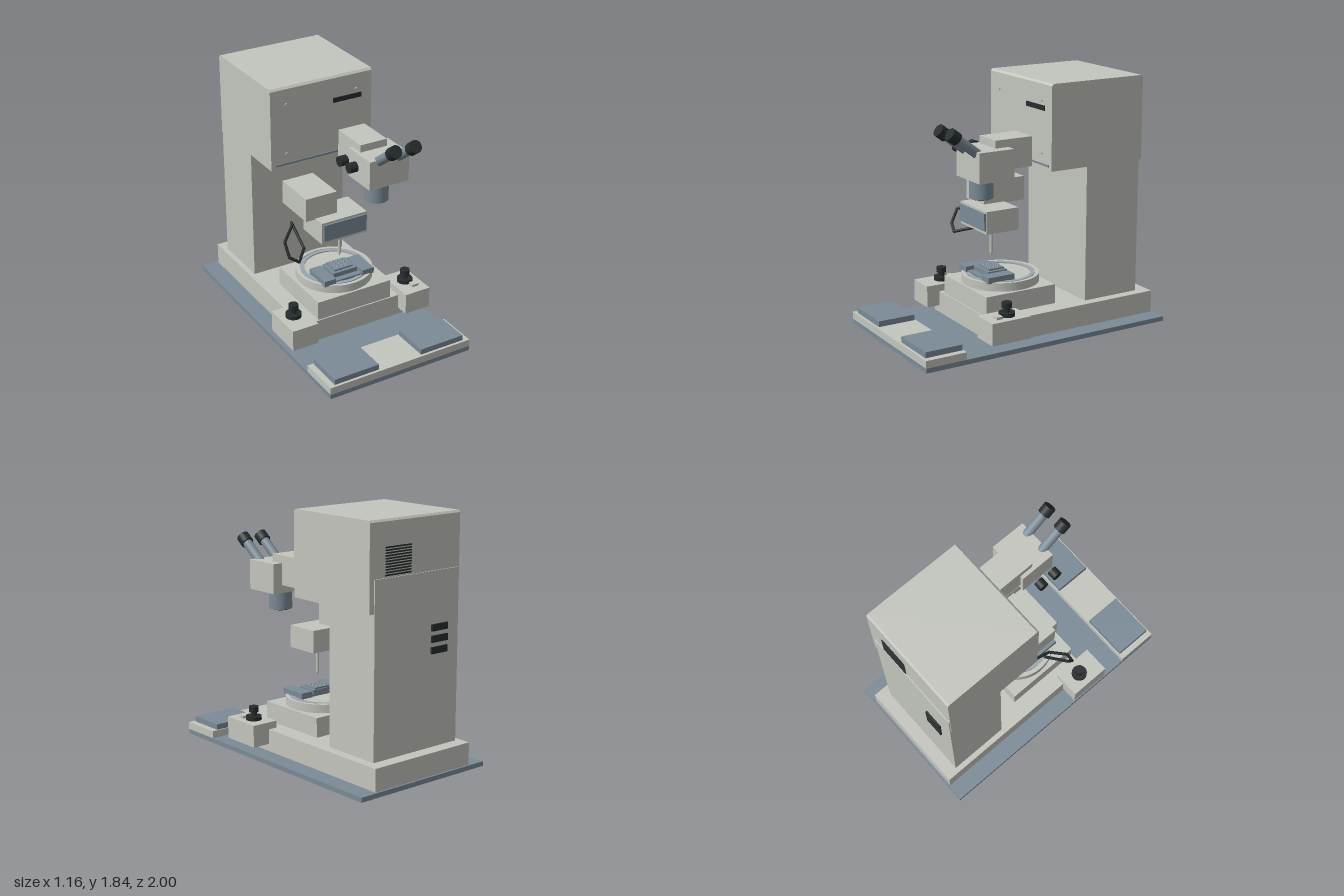
import * as THREE from 'three';

const mat = (name, color) => {
  const m = new THREE.MeshStandardMaterial({ color });
  m.name = name;
  return m;
};

export function createModel() {
  const root = new THREE.Group();
  root.name = 'bondingMachine';
  const light = mat('warmGrey', 0xc3c5be);
  const blue = mat('slateBlue', 0x7b8b97);
  const dark = mat('nearBlack', 0x262c2c);
  const steel = mat('steel', 0x9ba6ae);

  const add = (name, geometry, material, x = 0, y = 0, z = 0) => {
    const mesh = new THREE.Mesh(geometry, material);
    mesh.name = name;
    mesh.position.set(x, y, z);
    root.add(mesh);
    return mesh;
  };
  // Box given by its limits on each axis
  const box = (name, m, x0, x1, y0, y1, z0, z1) =>
    add(name, new THREE.BoxGeometry(x1 - x0, y1 - y0, z1 - z0), m,
      (x0 + x1) / 2, (y0 + y1) / 2, (z0 + z1) / 2);
  // Upright cylinder given by its bottom and top
  const cyl = (name, m, r, y0, y1, x, z, rTop = r, seg = 32) =>
    add(name, new THREE.CylinderGeometry(rTop, r, y1 - y0, seg), m, x, (y0 + y1) / 2, z);
  // Cylinder between two points
  const rod = (name, m, r, a, b, seg = 24) => {
    const d = b.clone().sub(a);
    const mesh = add(name, new THREE.CylinderGeometry(r, r, d.length(), seg), m);
    mesh.position.copy(a).add(b).multiplyScalar(0.5);
    mesh.quaternion.setFromUnitVectors(new THREE.Vector3(0, 1, 0), d.normalize());
    return mesh;
  };
  const v = (x, y, z) => new THREE.Vector3(x, y, z);

  // Base and arm rests
  box('basePlate', blue, -0.58, 0.58, 0, 0.035, -1, 1);
  box('frontStep', light, -0.58, 0.58, 0.035, 0.09, 0.685, 1);
  box('rightArmPad', blue, -0.535, -0.178, 0.09, 0.132, 0.695, 0.98);
  box('leftArmPad', blue, 0.175, 0.532, 0.09, 0.132, 0.695, 0.98);
  box('plinth', light, -0.447, 0.443, 0.035, 0.2, -0.985, 0.38);

  // Control blocks with knobs
  for (const s of [-1, 1]) {
    const x = s * 0.477;
    box('controlBlock', light, x - 0.104, x + 0.104, 0.09, 0.253, 0.17, 0.483);
    cyl('knobCollar', dark, 0.058, 0.253, 0.282, x, 0.305);
    cyl('knobStem', dark, 0.022, 0.282, 0.315, x, 0.305);
    cyl('knobTop', dark, 0.036, 0.312, 0.353, x, 0.305);
  }
  box('controlButton', light, 0.476, 0.528, 0.253, 0.272, 0.367, 0.415);

  // Work stage: block, turntable with rim and inlaid ring
  box('stageBlock', light, -0.31, 0.305, 0.2, 0.345, -0.21, 0.37);
  cyl('turntable', light, 0.285, 0.345, 0.4, 0, 0.07, 0.285, 64);
  const ring = (name, m, r0, r1, y0, y1) => add(name, new THREE.LatheGeometry(
    [[r0, y0], [r1, y0], [r1, y0], [r1, y1], [r1, y1], [r0, y1], [r0, y1], [r0, y0]]
      .map(p => new THREE.Vector2(...p)), 64), m, 0, 0, 0.07);
  ring('turntableRim', light, 0.258, 0.285, 0.398, 0.408);
  ring('turntableRing', steel, 0.22, 0.25, 0.399, 0.408);

  // Work holder with clamps and pins
  box('clampRight', blue, -0.21, -0.115, 0.402, 0.447, 0.075, 0.295);
  box('clampLeft', blue, 0.11, 0.207, 0.402, 0.447, 0.075, 0.295);
  box('holderFoot', blue, -0.115, 0.11, 0.4, 0.418, 0.09, 0.28);
  box('holderPlate', blue, -0.102, 0.1, 0.418, 0.453, 0.075, 0.235);
  box('workPiece', blue, -0.077, 0.075, 0.453, 0.465, 0.085, 0.21);
  for (let i = -1; i <= 1; i++)
    for (let j = -1; j <= 1; j++)
      cyl('workPin', steel, 0.01, 0.465, 0.487, i * 0.038, 0.148 + j * 0.036, 0.002, 8);

  // Column and overhanging head
  box('column', light, -0.407, 0.373, 0.2, 1.45, -0.888, -0.43);
  const side = new THREE.Shape([[0.1, 1.22], [0.88, 1.22], [0.88, 1.825], [0.867, 1.84],
    [0.115, 1.84], [0.1, 1.825]].map(p => new THREE.Vector2(...p)));
  const headGeo = new THREE.ExtrudeGeometry(side, { depth: 0.828, bevelEnabled: false });
  headGeo.rotateY(Math.PI / 2);
  add('head', headGeo, light, -0.415, 0, 0);
  box('headDisplay', dark, 0.09, 0.325, 1.64, 1.675, -0.101, -0.092);
  box('headTrim', blue, -0.38, 0.38, 1.246, 1.26, -0.101, -0.094);
  for (const x of [-0.29, 0.283])
    for (const y of [1.33, 1.708])
      rod('headScrew', light, 0.011, v(x, y, -0.101), v(x, y, -0.092), 16);

  // Rear vents and sockets
  for (let i = 0; i < 11; i++) {
    const y = 1.468 + i * 0.0185;
    box('ventSlat', dark, 0.042, 0.275, y - 0.005, y + 0.005, -0.886, -0.879);
  }
  for (const y of [0.895, 0.975, 1.055])
    box('rearSocket', dark, -0.298, -0.147, y - 0.024, y + 0.024, -0.902, -0.887);

  // Microscope
  box('microscopeArm', light, 0.082, 0.3, 1.25, 1.465, -0.01, 0.29);
  box('microscopeBody', light, 0.054, 0.377, 1.192, 1.41, 0.182, 0.46);
  cyl('objective', blue, 0.085, 1.045, 1.192, 0.19, 0.34);
  cyl('objectiveLens', dark, 0.062, 1.037, 1.046, 0.19, 0.34);
  for (const x of [0.14, 0.3]) {
    rod('eyepieceTube', blue, 0.035, v(x, 1.378, 0.42), v(x, 1.512, 0.597));
    rod('eyepieceCup', dark, 0.047, v(x, 1.507, 0.59), v(x, 1.55, 0.647));
  }
  for (const z of [0.262, 0.387])
    rod('focusKnob', dark, 0.037, v(-0.077, 1.368, z), v(-0.016, 1.368, z));

  // Tool head
  box('toolCarriage', light, -0.297, -0.044, 0.913, 1.09, -0.16, 0.182);
  box('toolHead', light, -0.222, 0.152, 0.753, 0.92, 0.01, 0.275);
  box('toolHeadPanel', blue, -0.21, 0.143, 0.777, 0.905, 0.274, 0.289);
  cyl('toolSpindle', light, 0.012, 0.565, 0.753, 0, 0.148, 0.012, 16);
  cyl('toolTip', light, 0.004, 0.54, 0.565, 0, 0.148, 0.01, 16);

  // Bent wire guard
  const guard = [v(-0.34, 0.84, 0.055), v(-0.465, 0.792, 0.17), v(-0.458, 0.69, 0.222),
    v(-0.388, 0.642, 0.24), v(-0.293, 0.678, 0.14), v(-0.27, 0.775, -0.085)];
  for (let i = 0; i < guard.length; i++) {
    if (i) rod('wireGuard', dark, 0.011, guard[i - 1], guard[i], 12);
    add('wireGuardJoint', new THREE.SphereGeometry(0.011, 12, 8), dark, ...guard[i].toArray());
  }
  return root;
}
